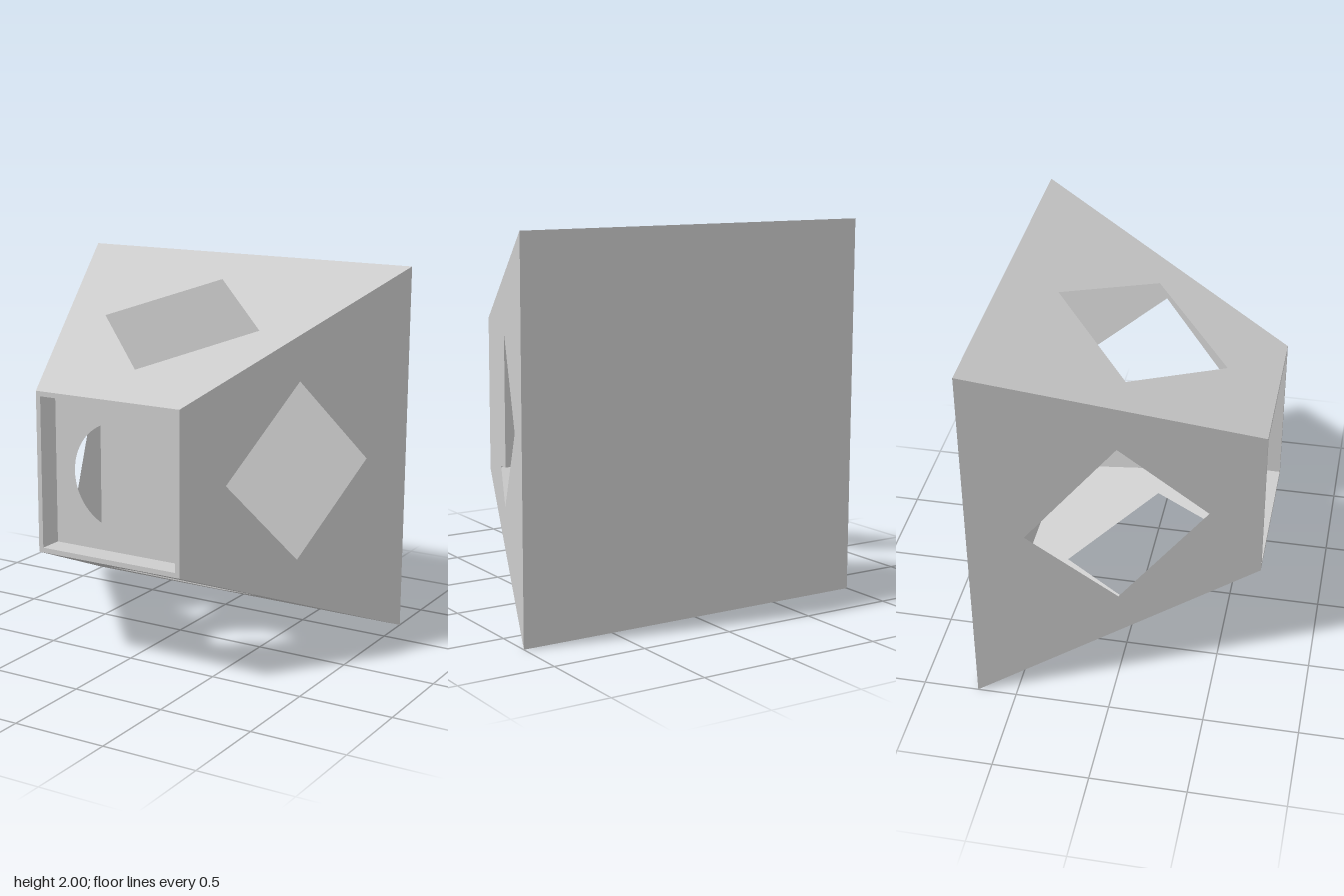
import * as THREE from 'three';

const BACK = 1, FRONT = 0.428, RIM = 0.402; // half widths
const Z = 0.707;                            // half depth
const RECESS = 0.13, PORT_RADIUS = 0.285, DIAMOND_RADIUS = 0.475;

// Flat polygon with an optional hole, both given as lists of [x, y]
function plate(outline, hole) {
  const toPoints = (list) => list.map(([x, y]) => new THREE.Vector2(x, y));
  const shape = new THREE.Shape(toPoints(outline));
  if (hole) shape.holes.push(new THREE.Path(toPoints(hole)));
  return new THREE.ShapeGeometry(shape);
}

// Regular polygon starting on the x axis
function ring(radius, sides) {
  return Array.from({ length: sides }, (_, i) => {
    const a = (i / sides) * Math.PI * 2;
    return [radius * Math.cos(a), radius * Math.sin(a)];
  });
}

const square = (h) => [[-h, -h], [h, -h], [h, h], [-h, h]];

export function createModel() {
  const model = new THREE.Group();
  model.name = 'taperedBox';
  const grey = new THREE.MeshStandardMaterial({ color: 0xcccccc, side: THREE.DoubleSide });
  grey.name = 'lightGrey';

  const add = (name, geometry) => {
    const mesh = new THREE.Mesh(geometry, grey);
    mesh.name = name;
    mesh.position.y = 1;
    model.add(mesh);
  };

  // Four sloping walls, each with a diamond opening, and the straight walls of the recess
  const rise = BACK - FRONT;
  const half = Math.hypot(rise, 2 * Z) / 2;
  const slope = Math.atan2(rise, 2 * Z);
  ['top', 'left', 'bottom', 'right'].forEach((side, i) => {
    const turn = -i * Math.PI / 2;
    add(side + 'Wall', plate(
      [[-FRONT, -half], [FRONT, -half], [BACK, half], [-BACK, half]],
      ring(DIAMOND_RADIUS, 4),
    ).rotateX(slope - Math.PI / 2).translate(0, (BACK + FRONT) / 2, 0).rotateZ(turn));

    add(side + 'RecessWall', new THREE.PlaneGeometry(2 * RIM, RECESS)
      .rotateX(Math.PI / 2).translate(0, RIM, Z - RECESS / 2).rotateZ(turn));
  });

  // Closed back
  add('backPanel', plate(square(BACK)).rotateY(Math.PI).translate(0, 0, -Z));

  // Narrow front rim and the recessed panel with its round opening
  add('frontRim', plate(square(FRONT), square(RIM)).translate(0, 0, Z));
  add('portPanel', plate(square(RIM), ring(PORT_RADIUS, 64)).translate(0, 0, Z - RECESS));

  return model;
}
